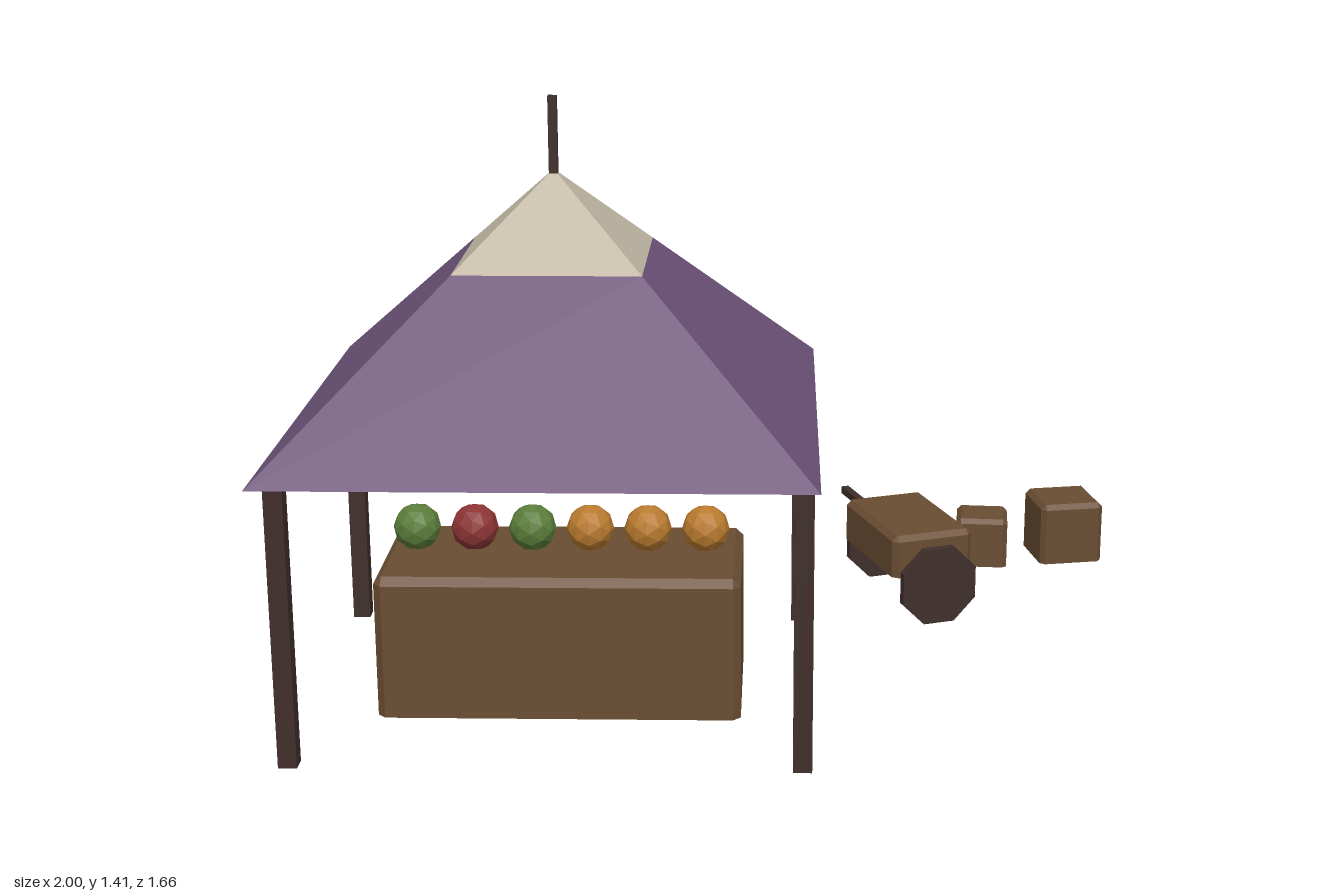
import * as THREE from 'three';

const paint = (name, color, side = THREE.FrontSide) =>
  new THREE.MeshStandardMaterial({ name, color, side, flatShading: true });

// Box with chamfered top and upright edges, standing on y = 0, open underneath
function crateGeometry(width, height, depth, c) {
  const w = width / 2, d = depth / 2;
  const ring = [
    [w - c, d], [w, d - c], [w, c - d], [w - c, -d],
    [c - w, -d], [-w, c - d], [-w, d - c], [c - w, d],
  ];
  const top = [[w - c, d - c], [w - c, c - d], [c - w, c - d], [c - w, d - c]];
  const points = [
    ...ring.map(([x, z]) => [x, 0, z]),
    ...ring.map(([x, z]) => [x, height - c, z]),
    ...top.map(([x, z]) => [x, height, z]),
  ];
  const index = [];
  const quad = (p, q, r, s) => index.push(p, q, r, p, r, s);
  for (let i = 0; i < 8; i++) {
    const j = (i + 1) % 8;
    quad(i, j, 8 + j, 8 + i);
  }
  for (let k = 0; k < 4; k++) {
    const next = (k + 1) % 4;
    const a = 8 + 2 * k, b = a + 1, e = 8 + ((2 * k + 2) % 8);
    index.push(a, b, 16 + k);
    quad(b, e, 16 + next, 16 + k);
  }
  quad(16, 17, 18, 19);
  const indexed = new THREE.BufferGeometry();
  indexed.setAttribute('position', new THREE.Float32BufferAttribute(points.flat(), 3));
  indexed.setIndex(index);
  const geometry = indexed.toNonIndexed();
  geometry.computeVertexNormals();
  return geometry;
}

export function createModel() {
  const purple = paint('purple cloth', 0x6b5177);
  const cream = paint('cream cloth', 0xbfb7a2);
  const wood = paint('brown wood', 0x6a4d33, THREE.DoubleSide);
  const darkWood = paint('dark wood', 0x402f2b);
  const green = paint('green fruit', 0x5a7d3a);
  const red = paint('red fruit', 0x8c3434);
  const orange = paint('orange fruit', 0xb87a2e);

  const model = new THREE.Group();
  model.name = 'marketStall';
  const add = (parent, name, geometry, material, x, y, z, turn = 0) => {
    const mesh = new THREE.Mesh(geometry, material);
    mesh.name = name;
    mesh.position.set(x, y, z);
    mesh.rotation.y = turn;
    parent.add(mesh);
    return mesh;
  };

  // Stall
  const stall = new THREE.Group();
  stall.name = 'stall';
  stall.position.set(-0.405, 0, 0.232);
  model.add(stall);

  // Four-sided roof with a pale peak
  const base = 0.68, split = 1.05, peak = 1.25, half = 0.597;
  const splitHalf = half * (peak - split) / (peak - base);
  const pyramid = (upper, lower, height, open) => new THREE.CylinderGeometry(
    upper * Math.SQRT2, lower * Math.SQRT2, height, 4, 1, open, Math.PI / 4);
  add(stall, 'roof', pyramid(splitHalf, half, split - base, false), purple, 0, (base + split) / 2, 0);
  add(stall, 'roofPeak', pyramid(0, splitHalf, peak - split, true), cream, 0, (split + peak) / 2, 0);
  add(stall, 'finial', new THREE.BoxGeometry(0.02, 0.18, 0.02), darkWood, 0, 1.325, 0);

  // Corner posts
  const post = new THREE.BoxGeometry(0.042, base, 0.042);
  for (const sx of [-1, 1])
    for (const sz of [-1, 1])
      add(stall, 'post', post, darkWood, sx * 0.565, base / 2, sz * 0.453);

  // Counter and row of fruit
  add(stall, 'counter', crateGeometry(0.84, 0.34, 0.39, 0.018), wood, 0.005, 0, 0.003);
  const fruit = new THREE.IcosahedronGeometry(0.056, 1);
  [green, red, green, orange, orange, orange].forEach((material, i) =>
    add(stall, 'fruit', fruit, material, -0.338 + i * 0.1355, 0.4, 0.003));

  // Handcart
  const cart = new THREE.Group();
  cart.name = 'cart';
  cart.position.set(0.445, 0, -0.392);
  cart.rotation.y = 0.35;
  model.add(cart);
  add(cart, 'cartBody', crateGeometry(0.22, 0.11, 0.34, 0.014), wood, 0, 0.117, 0);
  const wheel = new THREE.CylinderGeometry(0.108, 0.108, 0.022, 8, 1, false, Math.PI / 8);
  wheel.rotateX(Math.PI / 2);
  for (const z of [0.202, -0.167]) add(cart, 'wheel', wheel, darkWood, 0, 0.1, z);
  add(cart, 'handle', new THREE.BoxGeometry(0.02, 0.02, 0.3), darkWood, 0, 0.155, -0.297);

  // Loose crates
  add(model, 'smallCrate', crateGeometry(0.138, 0.135, 0.138, 0.012), wood, 0.667, 0, -0.678, -0.08);
  add(model, 'largeCrate', crateGeometry(0.174, 0.168, 0.174, 0.013), wood, 0.897, 0, -0.732, 0.19);

  return model;
}
